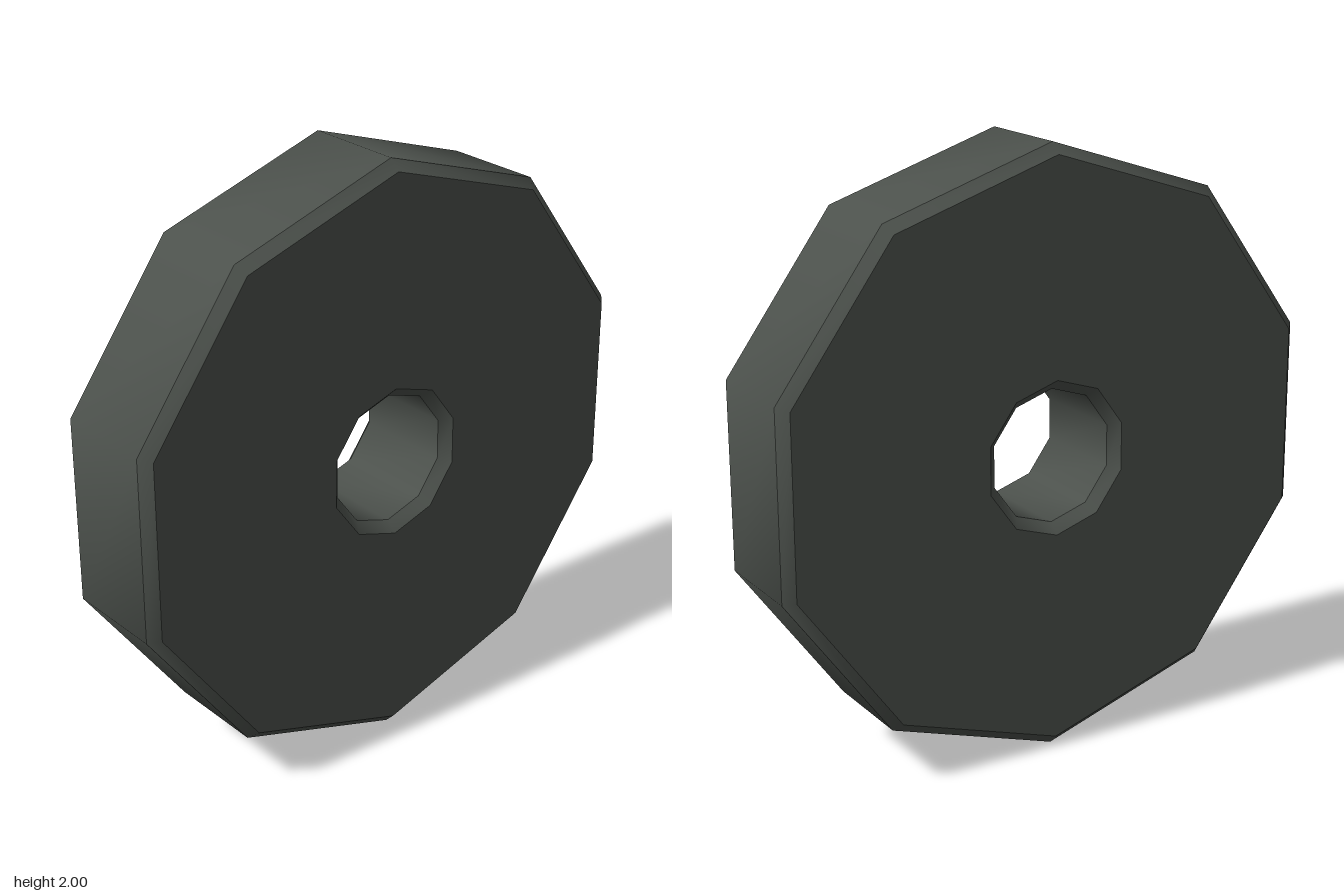
import * as THREE from 'three';
import { toCreasedNormals } from 'three/addons/utils/BufferGeometryUtils.js';

export function createModel() {
  const group = new THREE.Group();
  const darkGrey = new THREE.MeshStandardMaterial({ color: 0x4c514c });
  darkGrey.name = 'darkGrey';

  // Closed ring profile (radius, depth) with chamfered rim and bore
  const outer = 1, inner = 0.222, half = 0.207, c = 0.035;
  const profile = [
    [inner, half - c], [inner, -half + c], [inner + c, -half],
    [outer - c, -half], [outer, -half + c], [outer, half - c],
    [outer - c, half], [inner + c, half], [inner, half - c],
  ].map(([r, d]) => new THREE.Vector2(r, d));

  // Ten-sided disc, smooth around the rim and sharp at the chamfers
  const geometry = toCreasedNormals(
    new THREE.LatheGeometry(profile, 10), THREE.MathUtils.degToRad(40));
  geometry.rotateX(-Math.PI / 2);
  geometry.translate(0, 1, 0);

  const disc = new THREE.Mesh(geometry, darkGrey);
  disc.name = 'weightDisc';
  group.add(disc);
  return group;
}
